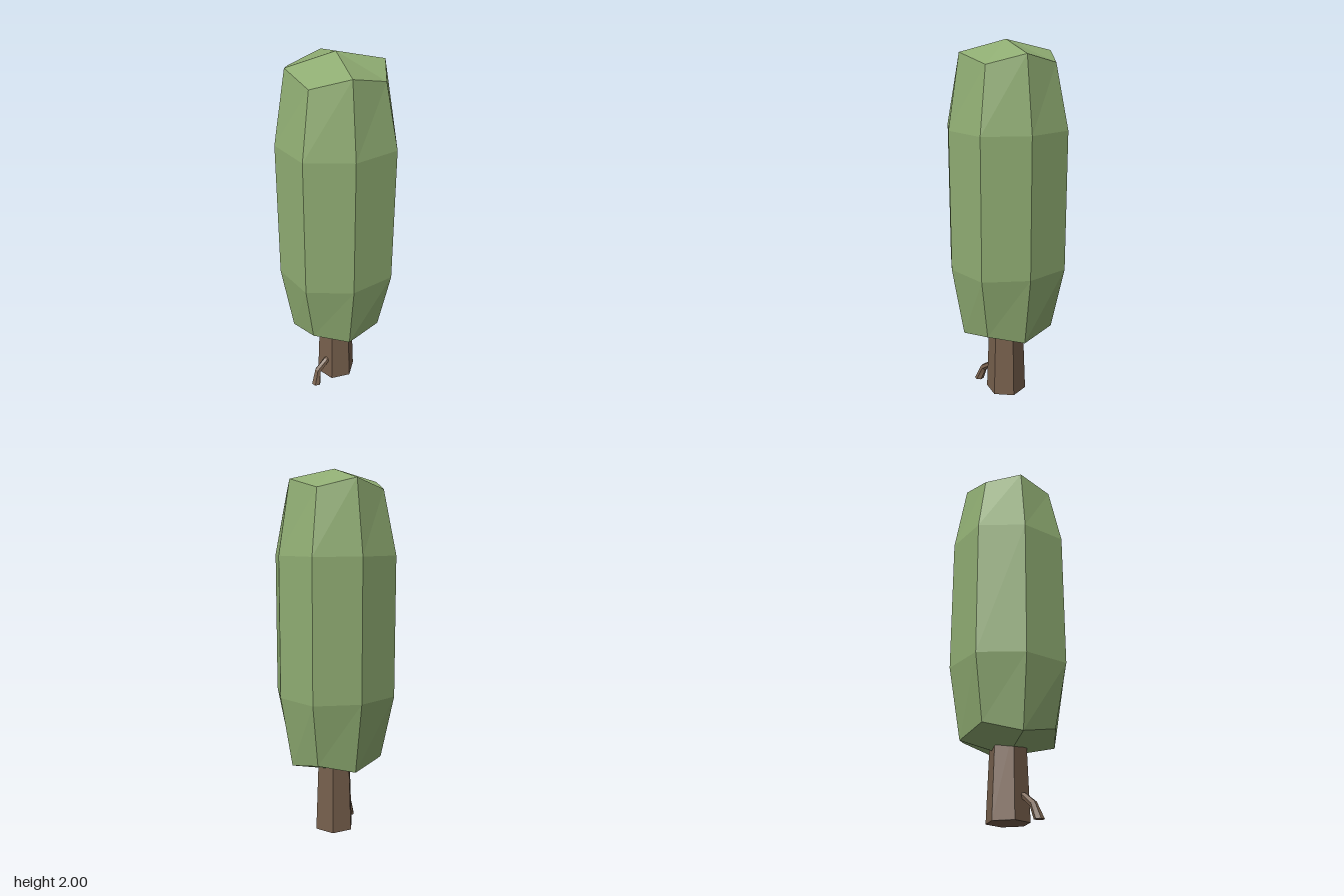
import * as THREE from 'three';

const leaf = new THREE.MeshStandardMaterial({ color: 0x8fac72, flatShading: true });
const bark = new THREE.MeshStandardMaterial({ color: 0x765f4c, flatShading: true });

// Skins rings of points, listed from bottom to top, and closes both ends
function loft(rings, bottom, top) {
  const pts = [];
  const tri = (...p) => p.forEach((v) => pts.push(v.x, v.y, v.z));
  const n = rings[0].length;
  const last = rings[rings.length - 1];
  for (let i = 0; i < n; i++) {
    const j = (i + 1) % n;
    tri(bottom, rings[0][i], rings[0][j]);
    for (let k = 0; k < rings.length - 1; k++) {
      const lo = rings[k], hi = rings[k + 1];
      tri(lo[i], hi[i], lo[j]);
      tri(lo[j], hi[i], hi[j]);
    }
    tri(top, last[j], last[i]);
  }
  const geo = new THREE.BufferGeometry();
  geo.setAttribute('position', new THREE.Float32BufferAttribute(pts, 3));
  geo.computeVertexNormals();
  return geo;
}

// Eight-sided crown ring: side points alternate with corner points
function crownRing(side, corner, ySide, yCorner) {
  return Array.from({ length: 8 }, (_, i) => {
    const a = (i * Math.PI) / 4;
    const r = i % 2 ? corner * Math.SQRT2 : side;
    return new THREE.Vector3(r * Math.cos(a), i % 2 ? yCorner : ySide, r * Math.sin(a));
  });
}

// Six-sided ring around a centre, facing along dir
function stemRing(centre, dir, r) {
  const d = dir.clone().normalize();
  const v = new THREE.Vector3(0, 0, 1).addScaledVector(d, -d.z).normalize();
  const u = new THREE.Vector3().crossVectors(d, v);
  return Array.from({ length: 6 }, (_, i) => {
    const a = (i * Math.PI) / 3;
    return centre.clone().addScaledVector(u, r * Math.cos(a)).addScaledVector(v, r * Math.sin(a));
  });
}

export function createModel() {
  const tree = new THREE.Group();
  tree.name = 'tree';
  const add = (name, geo, mat) => {
    const mesh = new THREE.Mesh(geo, mat);
    mesh.name = name;
    tree.add(mesh);
  };

  // Crown: tall faceted block with tapered, domed ends
  add('crown', loft([
    crownRing(0.257, 0.192, 0.4, 0.445),
    crownRing(0.322, 0.243, 0.79, 0.79),
    crownRing(0.322, 0.243, 1.55, 1.55),
    crownRing(0.257, 0.192, 1.94, 1.89),
  ], new THREE.Vector3(0, 0.34, 0), new THREE.Vector3(0, 2, 0)), leaf);

  // Trunk: tapered hexagon reaching into the crown
  const trunk = new THREE.CylinderGeometry(0.096, 0.114, 0.46, 6);
  trunk.rotateY(Math.PI / 6).translate(0, 0.23, 0);
  add('trunk', trunk, bark);

  // Side root: bent stem from the ground into the trunk
  const V = (x, y, z) => new THREE.Vector3(x, y, z);
  const foot = V(-0.158, 0, 0.108), knee = V(-0.14, 0.075, 0.085);
  const joint = V(-0.08, 0.122, 0.06), end = V(-0.05, 0.135, 0.035);
  add('sideRoot', loft([
    stemRing(foot, V(0, 1, 0), 0.027),
    stemRing(knee, V(-0.02, 0.05, 0).add(V(0.07, 0.02, -0.03)), 0.02),
    stemRing(joint, V(0.06, 0.04, -0.03), 0.018),
    stemRing(end, V(0.06, 0.04, -0.03), 0.016),
  ], foot, end), bark);

  return tree;
}
